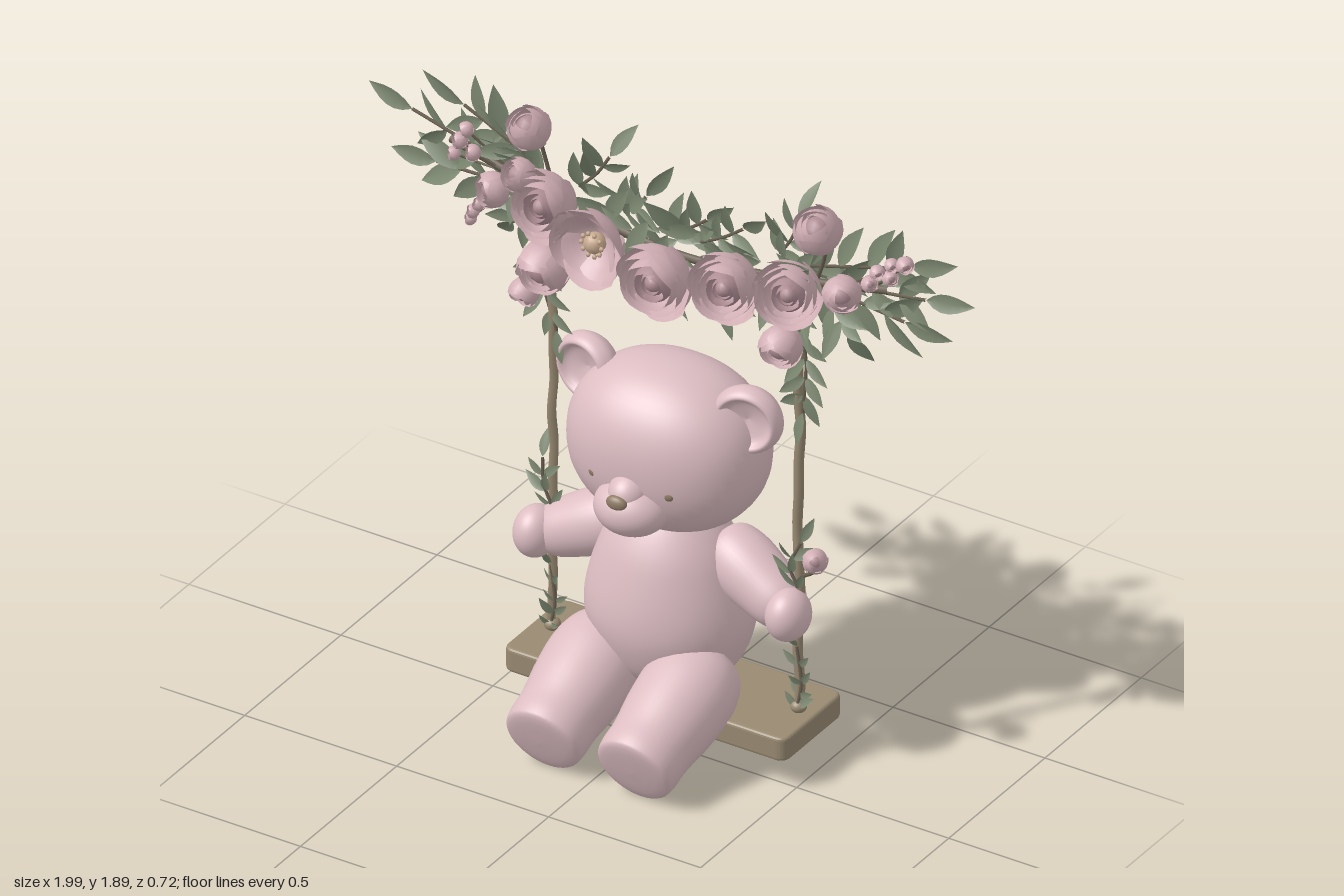
import * as THREE from 'three';
import { mergeGeometries } from 'three/addons/utils/BufferGeometryUtils.js';

const V = (x, y, z) => new THREE.Vector3(x, y, z);
const UP = V(0, 1, 0), FRONT = V(0, 0, 1);
const mat = (name, color, side = THREE.FrontSide) => {
  const m = new THREE.MeshStandardMaterial({ color, side });
  m.name = name;
  return m;
};

export function createModel() {
  const root = new THREE.Group();
  root.name = 'bearOnFlowerSwing';
  const M = {
    plush: mat('blush plush', 0xdcbdc2),
    petal: mat('petal pink', 0xd2b0b6, THREE.DoubleSide),
    deep: mat('deep petal pink', 0xb08f96, THREE.DoubleSide),
    leaf: mat('sage leaf', 0x7b8770, THREE.DoubleSide),
    stem: mat('stem brown', 0x6b6152),
    wood: mat('wood', 0x998a72),
    feature: mat('nose brown', 0x8f7c66),
    pollen: mat('pollen beige', 0xc9ab8f),
  };
  let seed = 7;
  const rnd = (a = 0, b = 1) => {
    seed = (seed * 16807) % 2147483647;
    return a + (b - a) * seed / 2147483647;
  };
  const add = (parent, name, geo, m, x = 0, y = 0, z = 0) => {
    const mesh = new THREE.Mesh(geo, m);
    mesh.name = name;
    mesh.position.set(x, y, z);
    parent.add(mesh);
    return mesh;
  };

  // Rounded blob, a little squarer than an ellipsoid when p > 2
  const blob = (rx, ry, rz, p = 2) => {
    const g = new THREE.SphereGeometry(1, 48, 32), a = g.attributes.position;
    for (let i = 0; i < a.count; i++) {
      const v = V().fromBufferAttribute(a, i);
      const k = (Math.abs(v.x) ** p + Math.abs(v.y) ** p + Math.abs(v.z) ** p) ** (-1 / p);
      a.setXYZ(i, v.x * k, v.y * k, v.z * k);
    }
    g.computeVertexNormals();
    return g.scale(rx, ry, rz);
  };
  const turned = (pts, n = 28) => new THREE.LatheGeometry(
    new THREE.SplineCurve(pts.map(p => new THREE.Vector2(...p))).getPoints(n).map(p => p.setX(Math.max(p.x, 0))), 40);
  // Turned limb from a to b; profile is [radius, fraction of length]
  const limb = (a, b, profile) => {
    const d = b.clone().sub(a), len = d.length();
    return turned(profile.map(([r, t]) => [r, t * len]))
      .applyQuaternion(new THREE.Quaternion().setFromUnitVectors(UP, d.normalize()))
      .translate(a.x, a.y, a.z);
  };

  // Bear
  const bear = new THREE.Group();
  bear.name = 'bear';
  bear.position.x = 0.01;
  root.add(bear);
  add(bear, 'body', turned([[0, .185], [.12, .195], [.2, .25], [.243, .35], [.248, .44], [.222, .55], [.18, .65], [.1, .74], [0, .76]])
    .scale(1, 1, .89), M.plush, 0, 0, -.12);
  add(bear, 'head', blob(.3, .253, .23, 2.2), M.plush, -.01, .928, -.13);
  add(bear, 'muzzle', blob(.112, .082, .1), M.plush, -.01, .81, .066);
  add(bear, 'noseBridge', blob(.06, .06, .07), M.plush, -.01, .862, .075);
  add(bear, 'nose', blob(.033, .023, .018), M.feature, -.012, .857, .143);
  for (const s of [-1, 1]) {
    const side = s < 0 ? 'right' : 'left';
    add(bear, side + 'Eye', blob(.02, .017, .012), M.feature, s * .12 - .008, .885, .072);
    const ear = add(bear, side + 'Ear', turned([[0, -.055], [.07, -.048], [.102, -.01], [.1, .025], [.082, .042], [.06, .02], [0, .004]])
      .rotateX(Math.PI / 2), M.plush, s * .262 - .01, 1.083, -.125);
    ear.rotation.y = s * .2;
    add(bear, side + 'Arm', limb(V(s * .13, .625, -.17), V(s * .42, .5, -.1),
      [[0, 0], [.075, .05], [.098, .28], [.092, .6], [.07, .9], [0, 1]]), M.plush);
    add(bear, side + 'Paw', blob(.063, .078, .074), M.plush, s * .415, .52, -.075);
    add(bear, side + 'Leg', limb(V(s * .155, .285, -.09), V(s * .15, .12, .325),
      [[0, 0], [.1, .05], [.137, .25], [.136, .5], [.122, .75], [.12, .92], [.1, .985], [0, 1]]), M.plush);
  }

  // Swing seat with softened edges
  const plank = new THREE.Shape();
  const px = .455, pz = .145, c = .025;
  plank.moveTo(-px + c, -pz).lineTo(px - c, -pz).quadraticCurveTo(px, -pz, px, -pz + c)
    .lineTo(px, pz - c).quadraticCurveTo(px, pz, px - c, pz).lineTo(-px + c, pz)
    .quadraticCurveTo(-px, pz, -px, pz - c).lineTo(-px, -pz + c).quadraticCurveTo(-px, -pz, -px + c, -pz);
  add(root, 'seat', new THREE.ExtrudeGeometry(plank, { depth: .056, bevelSize: .01, bevelThickness: .01, bevelSegments: 3 })
    .rotateX(-Math.PI / 2), M.wood, .02, .12, -.115);

  // Ropes, slightly uneven
  const tube = (pts, r, n = 30) => new THREE.TubeGeometry(new THREE.CatmullRomCurve3(pts), n, r, 6);
  for (const x of [-.38, .43]) {
    const pts = [];
    for (let i = 0; i <= 14; i++) pts.push(V(x + rnd(-.006, .006), .17 + i * .104, -.12 + rnd(-.005, .005)));
    add(root, 'rope', tube(pts, .0145, 60), M.wood);
    add(root, 'ropeKnot', blob(.024, .02, .024), M.wood, x, .2, -.12);
  }

  // Foliage: every leaf and stem is collected and merged at the end
  const leaves = [], stems = [], petals = [], deepPetals = [], pollen = [];
  const leafGeo = new THREE.PlaneGeometry(2, 1, 2, 6).translate(0, .5, 0);
  const lp = leafGeo.attributes.position;
  for (let i = 0; i < lp.count; i++) {
    const y = lp.getY(i), x = lp.getX(i) * .18 * Math.sin(Math.PI * y ** .85);
    lp.setXYZ(i, x, y, Math.abs(x) * .3 - .06 * y * y);
  }
  leafGeo.computeVertexNormals();
  const leaf = (p, angle, len, tilt) => leaves.push(leafGeo.clone().scale(len, len, len)
    .rotateY(rnd(-.5, .5)).rotateX(tilt).rotateZ(angle - Math.PI / 2).translate(p.x, p.y, p.z));
  // Stem through 2D points, with pairs of leaves and one at the tip
  const sprig = (pts, n, len, tilt = .06, z = -.135) => {
    const curve = new THREE.CatmullRomCurve3(pts.map(([x, y]) => V(x, y, z)));
    stems.push(new THREE.TubeGeometry(curve, 12, .005, 5));
    for (let i = 0; i <= n; i++) {
      const t = i / n, p = curve.getPoint(t), d = curve.getTangent(t), a = Math.atan2(d.y, d.x);
      if (i === n) leaf(p, a, len, rnd(-tilt, tilt));
      else for (const s of [-1, 1]) leaf(p, a + s * rnd(.5, .95), len * rnd(.75, 1.1), rnd(-.3, 1) * tilt);
    }
  };
  // Wide outer sprays
  [[[-.4, 1.62], [-.62, 1.66], [-.85, 1.72]], [[-.4, 1.6], [-.6, 1.58], [-.77, 1.575]],
    [[-.42, 1.65], [-.55, 1.73], [-.68, 1.79]], [[.45, 1.62], [.66, 1.63], [.84, 1.655]],
    [[.45, 1.64], [.65, 1.7], [.79, 1.745]], [[.45, 1.6], [.63, 1.575], [.77, 1.56]]]
    .forEach(p => sprig(p, 4, .155));
  // Upright and drooping sprays behind the blooms
  [[-.3, 1.65, -.2, 1.78], [-.15, 1.62, -.08, 1.69], [.0, 1.6, .12, 1.68], [.1, 1.6, .24, 1.69], [.36, 1.65, .42, 1.78],
    [-.4, 1.6, -.52, 1.46], [-.22, 1.56, -.15, 1.42], [-.1, 1.56, .0, 1.45], [.12, 1.54, .17, 1.44],
    [.3, 1.56, .36, 1.47], [.5, 1.57, .58, 1.46], [-.45, 1.66, -.53, 1.73]]
    .forEach(([a, b, e, f]) => sprig([[a, b], [(a + e) / 2 + .01, (b + f) / 2], [e, f]], 3, .13, .5));
  for (let i = 0; i < 46; i++)
    leaf(V(-.5 + i * .0225, 1.6 + rnd(-.06, .05), rnd(-.13, -.08)), rnd(0, 6.28), rnd(.1, .16), rnd(.05, .7));
  // Sprigs along the ropes
  for (const x of [-.38, .43]) {
    const s = Math.sign(x);
    sprig([[x, 1.5], [x + .03 * s, 1.35], [x + .02, 1.17]], 6, .1, .4, -.11);
    sprig([[x + .01, .6], [x - .015, .66], [x + .02 * s, .75]], 3, .085, .5, -.1);
    sprig([[x, .2], [x + .015, .28], [x, .4]], 4, .065, .6, -.11);
  }
  stems.push(tube([V(-.72, 1.67, -.13), V(-.38, 1.61, -.11), V(.05, 1.56, -.1), V(.43, 1.6, -.11), V(.72, 1.65, -.13)], .012, 40));

  // One cupped petal: a patch of a bowl opening towards +z
  const petal = (r, open, width, flare) => {
    const g = new THREE.PlaneGeometry(1, 1, 6, 5), a = g.attributes.position;
    for (let i = 0; i < a.count; i++) {
      const u = a.getX(i), v = a.getY(i) + .5;
      const th = .12 + v * open * (1 - .55 * u * u), R = r * (1 + .09 * u + flare * v ** 4), az = u * width;
      a.setXYZ(i, R * Math.sin(th) * Math.cos(az), R * Math.sin(th) * Math.sin(az), -R * Math.cos(th));
    }
    g.computeVertexNormals();
    return g;
  };
  // Petal rings: [radius, opening angle, count, flare]
  const KINDS = {
    rose: [[1, 1.6, 6, .08], [.86, 1.78, 6, .06], [.7, 1.95, 5, .04], [.52, 2.1, 4, 0], [.34, 2.2, 3, 0]],
    bud: [[1, 2.15, 5, .03], [.88, 2.4, 4, 0], [.7, 2.5, 3, 0]],
    open: [[1.02, 1.5, 5, .12], [.75, 1.35, 5, .25]],
  };
  const flower = (kind, x, y, z, r, dx = 0, dy = 0) => {
    const q = new THREE.Quaternion().setFromUnitVectors(FRONT, V(dx, dy, 1).normalize());
    const put = (list, g) => list.push(g.applyQuaternion(q).translate(x, y, z));
    KINDS[kind].forEach(([k, open, n, flare], ring) => {
      const start = rnd(0, 6.28);
      for (let i = 0; i < n; i++)
        put(ring > 2 ? deepPetals : petals, petal(r * k, open, 6.283 / n * 1.25, flare).rotateZ(start + i * 6.283 / n));
    });
    if (kind === 'open') {
      put(pollen, new THREE.SphereGeometry(r * .3, 12, 8).translate(0, 0, -r * .45));
      for (let i = 0; i < 10; i++)
        put(pollen, new THREE.SphereGeometry(r * .07, 6, 4).translate(r * .33 * Math.cos(i * .628), r * .33 * Math.sin(i * .628), -r * .3));
    } else put(deepPetals, new THREE.SphereGeometry(r * (kind === 'bud' ? .6 : .25), 12, 8));
  };
  flower('rose', -.34, 1.64, .0, .1, -.2, .2);
  flower('open', -.165, 1.585, .055, .108, -.1, 0);
  flower('rose', .065, 1.555, .055, .108, 0, -.05);
  flower('rose', .28, 1.595, .03, .1, .1, .1);
  flower('rose', .465, 1.615, -.01, .095, .25, .2);
  // Rounder half-closed blooms, each on a short stem
  [[-.41, 1.85, -.045, .063, -.1, 1.5], [.54, 1.83, -.045, .07, .2, 1.5], [-.34, 1.435, -.01, .076, 0, -.3],
    [.435, 1.43, -.02, .062, .1, -.4], [-.415, 1.32, -.03, .044, -.1, -.8], [-.52, 1.62, -.03, .052, -.6, .1],
    [.63, 1.66, -.03, .055, .6, .3], [-.44, 1.69, -.04, .05, -.4, .8], [.51, .72, -.08, .036, .6, .5]]
    .forEach(([x, y, z, r, dx, dy]) => {
      flower('bud', x, y, z, r, dx, dy);
      const low = y < 1;
      stems.push(tube([V(x, y, z - r * .5), V(x * .97, low ? .67 : (y + 1.6) / 2, -.11), V(low ? .43 : x * .9, low ? .62 : 1.6, -.12)], .006, 10));
    });
  // Tiny buds at the ends of the garland
  [[-.66, 1.71], [-.68, 1.66], [-.62, 1.68], [-.61, 1.5], [-.63, 1.46], [-.59, 1.53], [-.64, 1.75],
    [.72, 1.74], [.76, 1.77], [.8, 1.78], [.7, 1.7], [.75, 1.72]]
    .forEach(([x, y]) => {
      const z = rnd(-.1, -.06);
      flower('bud', x, y, z, rnd(.018, .026), Math.sign(x), rnd(-.3, .8));
      stems.push(tube([V(x, y, z), V(x * .92, y * .6 + .64, -.11), V(x * .8, 1.62, -.13)], .004, 8));
    });

  const garland = new THREE.Group();
  garland.name = 'garland';
  root.add(garland);
  add(garland, 'leaves', mergeGeometries(leaves), M.leaf);
  add(garland, 'stems', mergeGeometries(stems), M.stem);
  add(garland, 'petals', mergeGeometries(petals), M.petal);
  add(garland, 'innerPetals', mergeGeometries(deepPetals), M.deep);
  add(garland, 'flowerCentre', mergeGeometries(pollen), M.pollen);
  return root;
}
